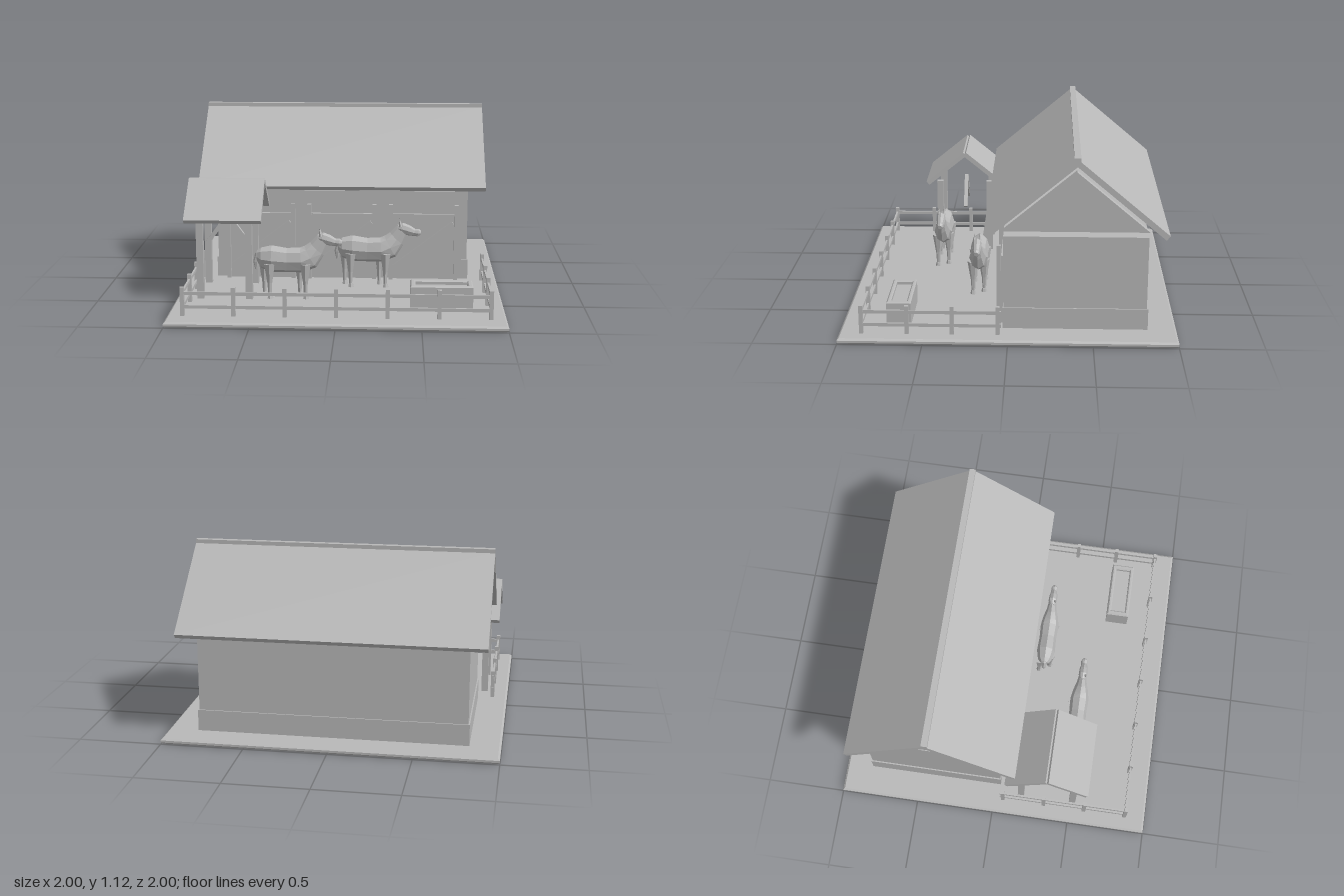
import * as THREE from 'three';

const grey = new THREE.MeshStandardMaterial({ color: 0xb8b8b8 });
grey.name = 'plain grey';

function add(parent, name, geometry, x = 0, y = 0, z = 0) {
  const mesh = new THREE.Mesh(geometry, grey);
  mesh.name = name;
  mesh.position.set(x, y, z);
  parent.add(mesh);
  return mesh;
}

// Box given by its limits on each axis
function block(parent, name, [x0, x1], [y0, y1], [z0, z1]) {
  return add(parent, name, new THREE.BoxGeometry(x1 - x0, y1 - y0, z1 - z0),
    (x0 + x1) / 2, (y0 + y1) / 2, (z0 + z1) / 2);
}

function post(parent, name, x, z, y0, y1, w) {
  return block(parent, name, [x - w / 2, x + w / 2], [y0, y1], [z - w / 2, z + w / 2]);
}

// Sloping bar in an x-y plane
function brace(parent, name, [x0, y0], [x1, y1], z, t, d) {
  const bar = add(parent, name, new THREE.BoxGeometry(Math.hypot(x1 - x0, y1 - y0), t, d),
    (x0 + x1) / 2, (y0 + y1) / 2, z);
  bar.rotation.z = Math.atan2(y1 - y0, x1 - x0);
}

// Two sloping slabs meeting at a ridge that runs along x
function gableRoof(parent, name, x, width, ridgeZ, ridgeY, span, drop, t) {
  for (const s of [1, -1]) {
    const slab = add(parent, name, new THREE.BoxGeometry(width, t, Math.hypot(span, drop)),
      x, ridgeY - drop / 2, ridgeZ + s * span / 2);
    slab.rotation.x = s * Math.atan2(drop, span);
  }
}

// Faceted skin over elliptical sections [x, y, tilt, halfHeight, halfWidth]
function loft(sections, sides = 8) {
  const pos = [], rings = sections.map(([x, y, a, h, w]) =>
    Array.from({ length: sides }, (_, j) => {
      const t = (j / sides) * Math.PI * 2, u = h * Math.cos(t);
      return [x - Math.sin(a) * u, y + Math.cos(a) * u, w * Math.sin(t)];
    }));
  const first = sections[0], last = sections[sections.length - 1];
  for (let j = 0; j < sides; j++) {
    const k = (j + 1) % sides;
    for (let i = 0; i < rings.length - 1; i++) {
      const a = rings[i][j], b = rings[i][k], c = rings[i + 1][k], d = rings[i + 1][j];
      pos.push(...a, ...b, ...c, ...a, ...c, ...d);
    }
    const end = rings[rings.length - 1];
    pos.push(first[0], first[1], 0, ...rings[0][k], ...rings[0][j]);
    pos.push(last[0], last[1], 0, ...end[j], ...end[k]);
  }
  const g = new THREE.BufferGeometry();
  g.setAttribute('position', new THREE.Float32BufferAttribute(pos, 3));
  g.computeVertexNormals();
  return g;
}

function flat(geometry) {
  const g = geometry.toNonIndexed();
  g.computeVertexNormals();
  return g;
}

function makeHorse() {
  const horse = new THREE.Group();
  horse.name = 'horse';
  add(horse, 'body', loft([
    [-0.255, 0.295, 0, 0.035, 0.025], [-0.23, 0.283, 0, 0.065, 0.045],
    [-0.165, 0.278, 0, 0.085, 0.06], [-0.07, 0.27, 0, 0.077, 0.056],
    [0.02, 0.272, 0.1, 0.08, 0.06], [0.075, 0.295, 0.5, 0.077, 0.05],
    [0.115, 0.345, 0.8, 0.058, 0.033], [0.15, 0.405, 0.9, 0.042, 0.024],
  ]));
  add(horse, 'head', loft([
    [0.115, 0.415, -0.2, 0.02, 0.016], [0.145, 0.412, -0.3, 0.037, 0.028],
    [0.185, 0.4, -0.35, 0.034, 0.027], [0.225, 0.386, -0.3, 0.024, 0.02],
    [0.25, 0.385, -0.2, 0.025, 0.023], [0.267, 0.383, -0.2, 0.014, 0.014],
  ]));
  add(horse, 'tail', loft([
    [-0.262, 0.21, 1.5, 0.006, 0.006], [-0.262, 0.26, 1.5, 0.017, 0.017],
    [-0.25, 0.31, 1.2, 0.017, 0.018], [-0.225, 0.34, 0.8, 0.01, 0.01],
  ], 6));
  for (const s of [1, -1]) {
    const ear = add(horse, 'ear', flat(new THREE.ConeGeometry(0.011, 0.05, 5)), 0.135, 0.45, s * 0.017);
    ear.rotation.z = 0.2;
    // Hind and front legs, each a thigh, a shin and a hoof
    for (const x of [-0.195, 0.025]) {
      const legX = x + s * 0.02, z = s * 0.034;
      add(horse, 'thigh', flat(new THREE.CylinderGeometry(0.036, 0.017, 0.12, 6)), legX, 0.195, z);
      add(horse, 'shin', flat(new THREE.CylinderGeometry(0.017, 0.011, 0.1, 6)), legX, 0.1, z);
      add(horse, 'hoof', flat(new THREE.CylinderGeometry(0.013, 0.02, 0.025, 6)), legX + 0.003, 0.047, z);
    }
  }
  return horse;
}

function rectangle(w, h, Type = THREE.Shape) {
  return new Type([[-1, -1], [1, -1], [1, 1], [-1, 1]].map(([x, y]) => new THREE.Vector2(x * w / 2, y * h / 2)));
}

export function createModel() {
  const model = new THREE.Group();
  model.name = 'stable';
  const ground = 0.035;

  // Chamfered ground slab
  const slab = new THREE.ExtrudeGeometry(rectangle(1.976, 1.976),
    { depth: 0.013, bevelEnabled: true, bevelSize: 0.012, bevelThickness: 0.011, bevelSegments: 1 });
  add(model, 'groundSlab', slab.rotateX(-Math.PI / 2), 0, 0.011, 0);

  // Barn walls, plinth, gables and roof
  const barn = new THREE.Group();
  barn.name = 'barn';
  model.add(barn);
  block(barn, 'walls', [-0.807, 0.807], [ground, 0.613], [-0.82, 0.03]);
  block(barn, 'plinth', [-0.815, 0.815], [ground, 0.165], [-0.828, 0.034]);
  const triangle = new THREE.Shape([[0.035, 0.645], [-0.395, 1.007], [-0.825, 0.645]]
    .map(([z, y]) => new THREE.Vector2(z, y)));
  for (const x of [0.81, -0.77]) {
    const gable = new THREE.ExtrudeGeometry(triangle, { depth: 0.04, bevelEnabled: false });
    add(barn, 'gable', gable.rotateY(-Math.PI / 2), x);
  }
  gableRoof(barn, 'roofSlope', 0, 1.826, -0.395, 1.09, 0.525, 0.442, 0.034);
  block(barn, 'ridgeCap', [-0.913, 0.913], [1.08, 1.12], [-0.414, -0.376]);

  // Stall doors with posts and a diagonal brace
  for (const [x0, x1] of [[-0.735, -0.315], [-0.21, 0.21], [0.315, 0.735]]) {
    block(barn, 'stallDoor', [x0, x1], [ground, 0.465], [0.028, 0.046]);
    for (const x of [x0, x1]) post(barn, 'doorPost', x, 0.06, ground, 0.53, 0.026);
    brace(barn, 'doorBrace', [x0 + 0.02, 0.115], [x1 - 0.02, 0.41], 0.05, 0.026, 0.02);
  }

  // Open shelter
  const shelter = new THREE.Group();
  shelter.name = 'shelter';
  model.add(shelter);
  for (const x of [-0.85, -0.55])
    for (const z of [0.175, 0.515]) post(shelter, 'shelterPost', x, z, ground, 0.53, 0.042);
  for (const x of [-0.835, -0.565]) brace(shelter, 'shelterBrace', [x, 0.335], [-0.7, 0.52], 0.343, 0.025, 0.025);
  gableRoof(shelter, 'shelterRoofSlope', -0.7, 0.47, 0.34, 0.742, 0.253, 0.207, 0.03);

  // Paddock fence on three sides
  const fence = new THREE.Group();
  fence.name = 'fence';
  model.add(fence);
  for (let i = -3; i <= 3; i++) post(fence, 'fencePost', i * 0.302, 0.866, ground, 0.21, 0.024);
  for (const s of [1, -1])
    for (const z of [0.06, 0.33, 0.597]) post(fence, 'fencePost', s * 0.906, z, ground, 0.21, 0.024);
  for (const y of [0.09, 0.172]) {
    block(fence, 'frontRail', [-0.906, 0.906], [y - 0.01, y + 0.01], [0.86, 0.872]);
    for (const s of [1, -1])
      block(fence, 'sideRail', [s * 0.906 - 0.006, s * 0.906 + 0.006], [y - 0.01, y + 0.01], [0.04, 0.866]);
  }

  // Water trough with a chamfered rim
  const trough = new THREE.Group();
  trough.name = 'trough';
  model.add(trough);
  const rim = rectangle(0.358, 0.13);
  rim.holes.push(rectangle(0.325, 0.11, THREE.Path));
  const shell = new THREE.ExtrudeGeometry(rim,
    { depth: 0.139, bevelEnabled: true, bevelSize: 0.008, bevelThickness: 0.008, bevelSegments: 1 });
  add(trough, 'troughWalls', shell.rotateX(-Math.PI / 2), 0.622, ground + 0.008, 0.655);
  block(trough, 'water', [0.46, 0.784], [ground, 0.165], [0.6, 0.71]);

  // Two horses side by side
  for (const [x, z] of [[-0.25, 0.472], [0.238, 0.207]]) {
    const horse = makeHorse();
    horse.position.set(x, 0, z);
    model.add(horse);
  }
  return model;
}
